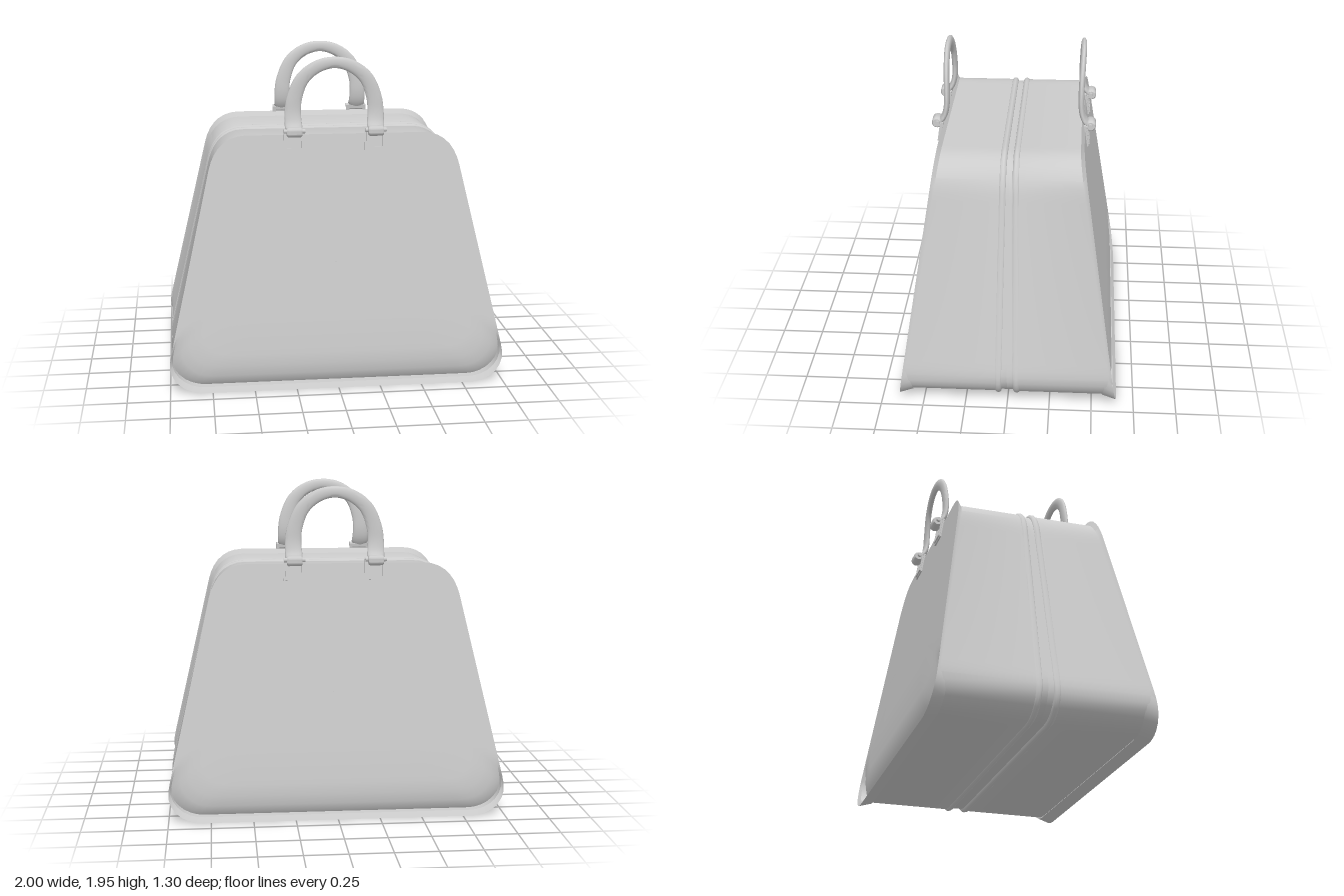
import * as THREE from 'three';
import { toCreasedNormals } from 'three/addons/utils/BufferGeometryUtils.js';

const material = new THREE.MeshStandardMaterial({ color: 0xcccccc, side: THREE.DoubleSide });

function add(parent, name, geometry, x = 0, y = 0, z = 0) {
  const mesh = new THREE.Mesh(geometry, material);
  mesh.name = name;
  mesh.position.set(x, y, z);
  parent.add(mesh);
  return mesh;
}

// Joins closed rings of points (front to back, or centre outwards) into a skin
function loft(rings, crease = 0.7) {
  const n = rings[0].length, index = [];
  for (let r = 0; r < rings.length - 1; r++) {
    for (let i = 0; i < n; i++) {
      const a = r * n + i, a2 = r * n + (i + 1) % n;
      index.push(a, a + n, a2 + n, a, a2 + n, a2);
    }
  }
  const g = new THREE.BufferGeometry();
  g.setAttribute('position', new THREE.Float32BufferAttribute(rings.flat().flatMap((p) => p.toArray()), 3));
  g.setIndex(index);
  return toCreasedNormals(g, crease);
}

// Rounded trapezoid, counter-clockwise from the front
function makeOutline() {
  const s = new THREE.Shape();
  s.moveTo(0, 0);
  s.lineTo(0.8, 0);
  s.bezierCurveTo(0.91, 0, 1, 0.07, 1, 0.17);
  s.lineTo(0.995, 0.21);
  s.lineTo(0.745, 1.3);
  s.bezierCurveTo(0.715, 1.43, 0.64, 1.5, 0.52, 1.5);
  s.lineTo(-0.52, 1.5);
  s.bezierCurveTo(-0.64, 1.5, -0.715, 1.43, -0.745, 1.3);
  s.lineTo(-0.995, 0.21);
  s.lineTo(-1, 0.17);
  s.bezierCurveTo(-1, 0.07, -0.91, 0, -0.8, 0);
  s.lineTo(0, 0);
  return s.getSpacedPoints(140).slice(0, -1);
}

const outline = makeOutline();
const panelZ = (y) => 0.65 - 0.152 * y;
const ridgeZ = (y) => 0.055 - 0.012 * y;

// Ring of the outline, pulled in by an inset; z follows the height
function ring(inset, zAt, sideShare = 0.4) {
  return outline.map((p) => {
    const y = 0.75 + (p.y - 0.75) * (1 - inset / 0.75);
    return new THREE.Vector3(p.x * (1 - inset * sideShare), y, zAt(p.y, y));
  });
}

// Sloping face with a fillet tucked in behind the lower rim
function panelGeometry() {
  const tuck = (depth) => (y0, y) =>
    panelZ(y) - depth * THREE.MathUtils.smoothstep(0.34 - y0, 0, 0.3);
  return loft([
    ring(0.7499, tuck(0), 1.3),
    ring(0.45, tuck(0), 1),
    ring(0.22, tuck(0), 0.9),
    ring(0.15, tuck(0.008), 0.8),
    ring(0.09, tuck(0.025), 0.8),
    ring(0.05, tuck(0.045), 0.8),
    ring(0.02, tuck(0.075), 0.8),
    ring(0, tuck(0), 0.8),
  ]);
}

// Wall from the rim back to the middle opening
function wallGeometry() {
  return loft([
    ring(0, (y) => panelZ(y)),
    ring(0.03, (y) => panelZ(y) - 0.02),
    ring(0.03, (y) => ridgeZ(y) + 0.01),
    ring(0.04, (y) => ridgeZ(y) - 0.01),
    ring(0.04, () => 0),
  ]);
}

// Rounded piping beside the opening
function pipingGeometry() {
  const rings = [];
  for (let k = 0; k <= 10; k++) {
    const a = (k / 10) * Math.PI;
    rings.push(ring(0.041 - 0.021 * Math.sin(a), (y) => ridgeZ(y) + 0.02 * Math.cos(a)));
  }
  return loft(rings, 1);
}

// Flattened arch, thickest at its two feet
function handleGeometry() {
  const side = [[0.24, 1.51, 0.445], [0.243, 1.56, 0.412], [0.245, 1.62, 0.398],
    [0.235, 1.71, 0.396], [0.187, 1.825, 0.4], [0.1, 1.895, 0.404]];
  const points = [
    ...side.map(([x, y, z]) => new THREE.Vector3(x, y, z)),
    new THREE.Vector3(0, 1.918, 0.405),
    ...side.slice().reverse().map(([x, y, z]) => new THREE.Vector3(-x, y, z)),
  ];
  const curve = new THREE.CatmullRomCurve3(points);
  const rings = [];
  for (let k = 0; k <= 60; k++) {
    const t = k / 60, p = curve.getPointAt(t), d = curve.getTangentAt(t);
    const across = new THREE.Vector3(d.y, -d.x, 0).normalize();
    const depth = new THREE.Vector3().crossVectors(d, across).normalize();
    const foot = Math.abs(2 * t - 1);
    const width = foot > 0.94 ? 0.04 : 0.033 + 0.02 * foot;
    rings.push(Array.from({ length: 20 }, (_, i) => {
      const a = -(i / 20) * Math.PI * 2;
      return p.clone().addScaledVector(across, width * Math.cos(a))
        .addScaledVector(depth, 0.017 * Math.sin(a));
    }));
  }
  return loft(rings, 1.2);
}

function rectangle(path, w, h) {
  path.moveTo(-w, -h);
  path.lineTo(w, -h);
  path.lineTo(w, h);
  path.lineTo(-w, h);
  path.closePath();
  return path;
}

// Square metal frame with a bar, and the strap loop that wraps the bar
function makeBuckle(x) {
  const buckle = new THREE.Group();
  buckle.name = 'buckle';
  for (const [w, h, depth] of [[0.064, 0.065, 0.012], [0.055, 0.056, 0.02]]) {
    const shape = rectangle(new THREE.Shape(), w, h);
    shape.holes.push(rectangle(new THREE.Path(), 0.043, 0.044));
    const frame = new THREE.ExtrudeGeometry(shape, { depth, bevelEnabled: false });
    add(buckle, 'buckleFrame', frame, x, 1.465, panelZ(1.465) - 0.003).rotation.x = -0.15;
  }
  const bar = new THREE.CylinderGeometry(0.013, 0.013, 0.125, 12).rotateZ(Math.PI / 2);
  add(buckle, 'buckleBar', bar, x, 1.525, 0.452);
  const loopProfile = [[0, -0.045], [0.024, -0.045], [0.031, -0.036], [0.031, 0.036], [0.024, 0.045], [0, 0.045]]
    .map(([r, y]) => new THREE.Vector2(r, y));
  const loop = toCreasedNormals(new THREE.LatheGeometry(loopProfile, 20).rotateZ(Math.PI / 2), 0.9);
  add(buckle, 'strapLoop', loop, x, 1.52, 0.455);
  return buckle;
}

function makeHalf(name) {
  const half = new THREE.Group();
  half.name = name;
  add(half, 'panel', panelGeometry());
  add(half, 'wall', wallGeometry());
  add(half, 'piping', pipingGeometry());
  add(half, 'handle', handleGeometry());
  for (const x of [-0.24, 0.24]) half.add(makeBuckle(x));
  return half;
}

export function createModel() {
  const bag = new THREE.Group();
  bag.name = 'bag';
  const back = makeHalf('backHalf');
  back.rotation.y = Math.PI;
  bag.add(makeHalf('frontHalf'), back);
  return bag;
}
